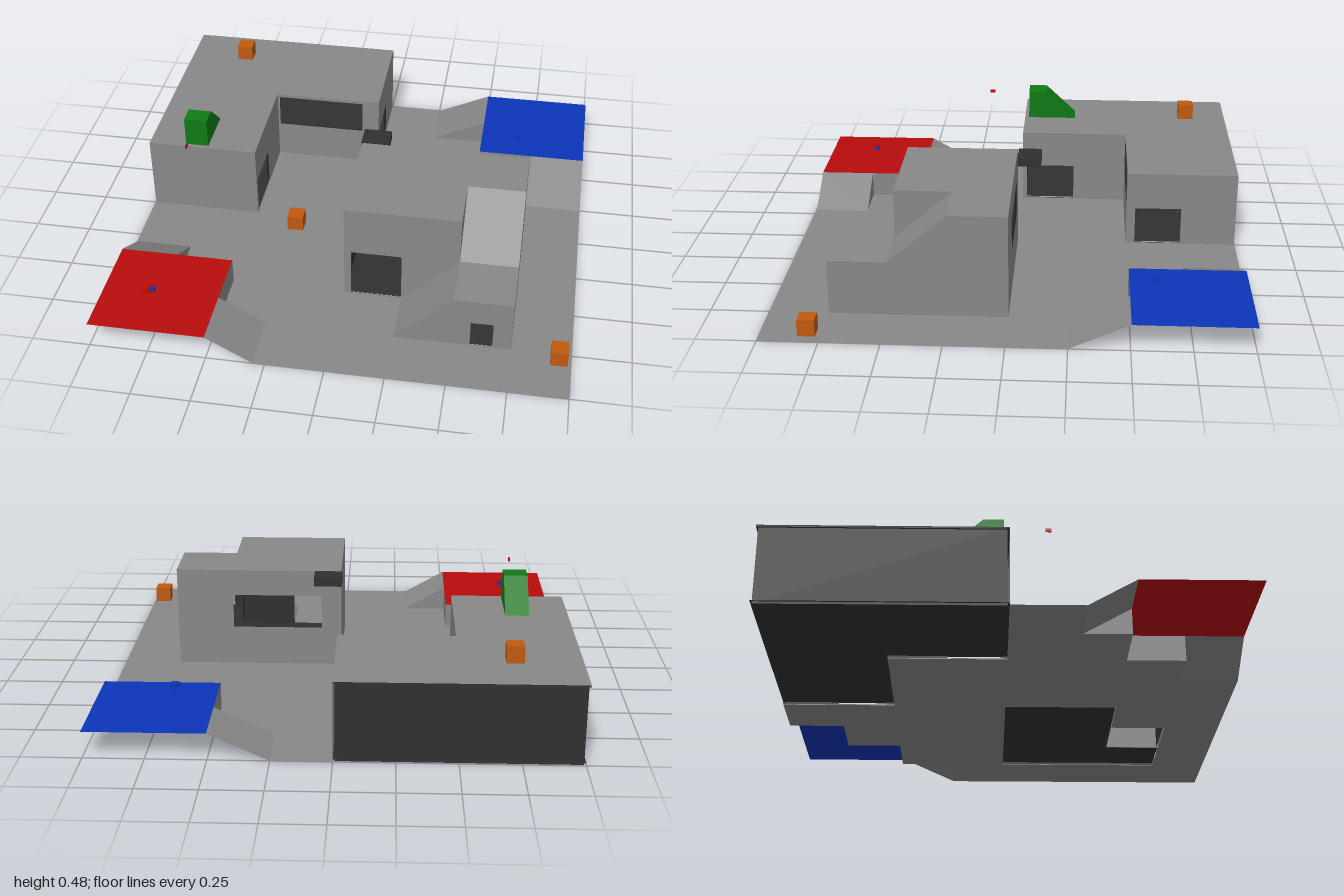
import * as THREE from 'three';

const material = (name, color) => {
  const m = new THREE.MeshStandardMaterial({ color, side: THREE.DoubleSide });
  m.name = name;
  return m;
};

export function createModel() {
  const grey = material('concrete grey', 0x888888);
  const dark = material('dark lining', 0x303030);
  const red = material('red', 0xb80c0c);
  const blue = material('blue', 0x0c34b8);
  const green = material('green', 0x107a14);
  const orange = material('orange', 0xc05a10);

  const model = new THREE.Group();
  model.name = 'arena';
  let group;
  const section = (name) => {
    group = new THREE.Group();
    group.name = name;
    model.add(group);
  };
  const add = (name, geo, mat) => {
    const mesh = new THREE.Mesh(geo, mat);
    mesh.name = name;
    group.add(mesh);
    return mesh;
  };

  const rect = (u0, v0, u1, v1) => [[u0, v0], [u1, v0], [u1, v1], [u0, v1]];
  const toVectors = (pts) => pts.map(([u, v]) => new THREE.Vector2(u, v));

  // Flat panel across an axis: x panels use (z, y), y panels (x, z), z panels (x, y).
  // The sign says which way along the axis the panel faces.
  const panel = (name, mat, axis, d, sign, pts, holes = []) => {
    const shape = new THREE.Shape(toVectors(pts));
    holes.forEach((h) => shape.holes.push(new THREE.Path(toVectors(h))));
    const geo = new THREE.ShapeGeometry(shape);
    const p = geo.attributes.position;
    for (let i = 0; i < p.count; i++) {
      const u = p.getX(i), v = p.getY(i);
      if (axis === 'x') p.setXYZ(i, d, v, u);
      else if (axis === 'y') p.setXYZ(i, u, d, v);
      else p.setXYZ(i, u, v, d);
    }
    const facing = axis === 'z' ? 1 : -1;
    if (facing !== sign) geo.index.array.reverse();
    geo.computeVertexNormals();
    return add(name, geo, mat);
  };

  // Sloped rectangle from four corners, anticlockwise seen from above
  const slope = (name, mat, corners) => {
    const geo = new THREE.BufferGeometry();
    geo.setAttribute('position', new THREE.Float32BufferAttribute(corners.flat(), 3));
    geo.setIndex([0, 1, 2, 0, 2, 3]);
    geo.computeVertexNormals();
    return add(name, geo, mat);
  };
  const box = (name, mat, size, pos) =>
    add(name, new THREE.BoxGeometry(...size), mat).position.set(...pos);

  // Outer wall with a dark lining just inside it
  const T = 0.008;
  const wall = (name, axis, d, sign, pts, holes) => {
    panel(name, grey, axis, d, sign, pts, holes);
    panel(name + ' lining', dark, axis, d - sign * T, -sign, pts, holes);
  };

  // Ground with notches for the bases and a hole under the tower
  section('ground');
  const towerPlan = [[0, 0], [0.75, 0], [0.75, 0.75], [0.25, 0.75], [0.25, 0.5], [0, 0.5]];
  panel('ground', grey, 'y', 0, 1, [
    [1, 1], [1, -0.25], [0.75, -0.25], [0.75, -0.5], [0.5, -0.5], [0.5, -0.75], [0.25, -0.75],
    [0.25, -1], [0, -1], [0, -0.5], [-0.5, -0.5], [-0.5, 0], [-1, 0], [-1, 0.3], [-0.75, 0.3],
    [-0.75, 0.5], [-0.5, 0.5], [-0.5, 0.75], [-0.3, 0.75], [-0.3, 1],
  ], [towerPlan]);

  // Raised corner bases: s mirrors through the centre, run is the ramp length
  const P = 0.115;
  const base = (name, mat, s, run) => {
    section(name);
    const end = 0.5 - run;
    panel(name + ' platform', mat, 'y', P, 1, rect(0.5 * s, -0.5 * s, s, -s));
    panel('inner wall', grey, 'z', -0.5 * s, s, rect(0.5 * s, 0, 0.75 * s, P));
    panel('inner wall', grey, 'x', 0.5 * s, -s, rect(-0.5 * s, 0, -0.75 * s, P));
    slope('ramp', grey, [[end * s, 0, -0.75 * s], [0.5 * s, P, -0.75 * s],
      [0.5 * s, P, -s], [end * s, 0, -s]]);
    slope('ramp', grey, [[0.75 * s, 0, -end * s], [s, 0, -end * s],
      [s, P, -0.5 * s], [0.75 * s, P, -0.5 * s]]);
    panel('ramp side', grey, 'z', -0.75 * s, s,
      [[end * s, 0], [0.5 * s, 0], [0.5 * s, P]]);
    panel('ramp side', grey, 'x', 0.75 * s, -s,
      [[-end * s, 0], [-0.5 * s, 0], [-0.5 * s, P]]);
  };
  base('blue base', blue, 1, 0.25);
  base('red base', red, -1, 0.2);

  // L-shaped bunker in the back corner
  section('bunker');
  const H = 0.345, F = 0.01;
  const bunkerPlan = [[-1, -1], [0, -1], [0, -0.5], [-0.5, -0.5], [-0.5, 0], [-1, 0]];
  panel('bunker roof', grey, 'y', H, 1, bunkerPlan);
  panel('bunker ceiling', dark, 'y', H - T, -1, bunkerPlan);
  panel('bunker floor', dark, 'y', F, 1, bunkerPlan);
  wall('bunker side wall', 'x', 0, 1, rect(-1, 0, -0.5, H), [rect(-0.75, 0.002, -0.54, 0.175)]);
  wall('bunker window wall', 'z', -0.5, 1, rect(-0.5, 0, 0, H), [rect(-0.49, 0.175, -0.08, 0.33)]);
  wall('bunker door wall', 'x', -0.5, 1, rect(-0.5, 0, 0, H), [rect(-0.25, 0.002, -0.02, 0.175)]);
  wall('bunker end wall', 'z', 0, 1, rect(-1, 0, -0.5, H));
  panel('bunker outer wall', dark, 'x', -1 + T, -1, rect(-1 + T, 0, -T, H));
  panel('bunker outer wall', dark, 'z', -1 + T, -1, rect(-1 + T, 0, -T, H));

  // Tower with a two-flight ramp round its corner
  section('tower');
  const R = 0.455, M = 0.24;
  const roofPlan = [[0, 0], [0.75, 0], [0.75, 0.25], [0.5, 0.25], [0.5, 0.5], [0, 0.5]];
  panel('tower roof', grey, 'y', R, 1, roofPlan);
  panel('tower ceiling', dark, 'y', R - T, -1, roofPlan);
  panel('tower floor', dark, 'y', F, 1,
    [[0, 0], [0.75, 0], [0.75, 0.75], [0.5, 0.75], [0.5, 0.5], [0, 0.5]]);
  wall('tower back wall', 'z', 0, -1, rect(0, 0, 0.75, R), [rect(0.09, 0.18, 0.495, 0.335)]);
  wall('tower side wall', 'x', 0, -1, rect(0, 0, 0.5, R));
  wall('tower stepped wall', 'x', 0.75, 1,
    [[0, 0], [0.75, 0], [0.75, M], [0.5, M], [0.25, R], [0, R]]);
  wall('tower front wall', 'z', 0.5, 1, rect(0, 0, 0.5, R), [rect(0.03, 0.002, 0.25, 0.23)]);
  wall('landing front wall', 'z', 0.75, 1,
    [[0.25, 0], [0.75, 0], [0.75, M], [0.5, M]], [rect(0.575, 0.002, 0.67, 0.125)]);
  panel('landing inner wall', grey, 'x', 0.5, -1, rect(0.5, 0, 0.75, M));
  panel('landing inner lining', dark, 'x', 0.5 + T, 1, rect(0.5, 0, 0.75, M));
  panel('landing', grey, 'y', M, 1, rect(0.5, 0.5, 0.75, 0.75));
  panel('landing ceiling', dark, 'y', M - T, -1, rect(0.5, 0.5, 0.75, 0.75));
  panel('upper ramp side', grey, 'x', 0.5, 1, [[0.25, R], [0.5, M], [0.5, R]]);
  slope('upper ramp', grey, [[0.5, M, 0.5], [0.75, M, 0.5], [0.75, R, 0.25], [0.5, R, 0.25]]);
  slope('lower ramp', grey, [[0.25, 0, 0.75], [0.5, M, 0.75], [0.5, M, 0.5], [0.25, 0, 0.5]]);
  box('tower ledge box', dark, [0.125, 0.037, 0.105], [0.057, 0.438, -0.057]);

  // Green wedge on the bunker roof
  section('roof wedge');
  const wedge = new THREE.ExtrudeGeometry(
    new THREE.Shape(toVectors([[0.02, H], [0.25, H], [0.105, 0.48], [0.02, 0.48]])),
    { depth: 0.105, bevelEnabled: false });
  wedge.rotateY(Math.PI / 2); // profile runs towards the back
  wedge.translate(-0.83, 0, 0);
  add('green wedge', wedge, green);

  // Crates
  section('crates');
  [[-0.72, 0.4, -0.8], [-0.295, 0.055, 0.09], [0.95, 0.055, 0.8], [0.607, 0.055, 0.45]]
    .forEach((pos) => box('crate', orange, [0.072, 0.072, 0.072], pos));

  // Small markers
  section('markers');
  box('red marker', red, [0.03, 0.028, 0.024], [-0.805, 0.14, 0.772]);
  box('blue marker tip', blue, [0.018, 0.015, 0.02], [-0.782, 0.138, 0.765]);
  box('blue marker', blue, [0.028, 0.022, 0.03], [0.68, 0.152, -0.613]);
  box('blue marker tip', blue, [0.012, 0.014, 0.02], [0.66, 0.15, -0.605]);
  box('floating marker', red, [0.007, 0.014, 0.024], [-0.77, 0.466, 0.165]);

  return model;
}
